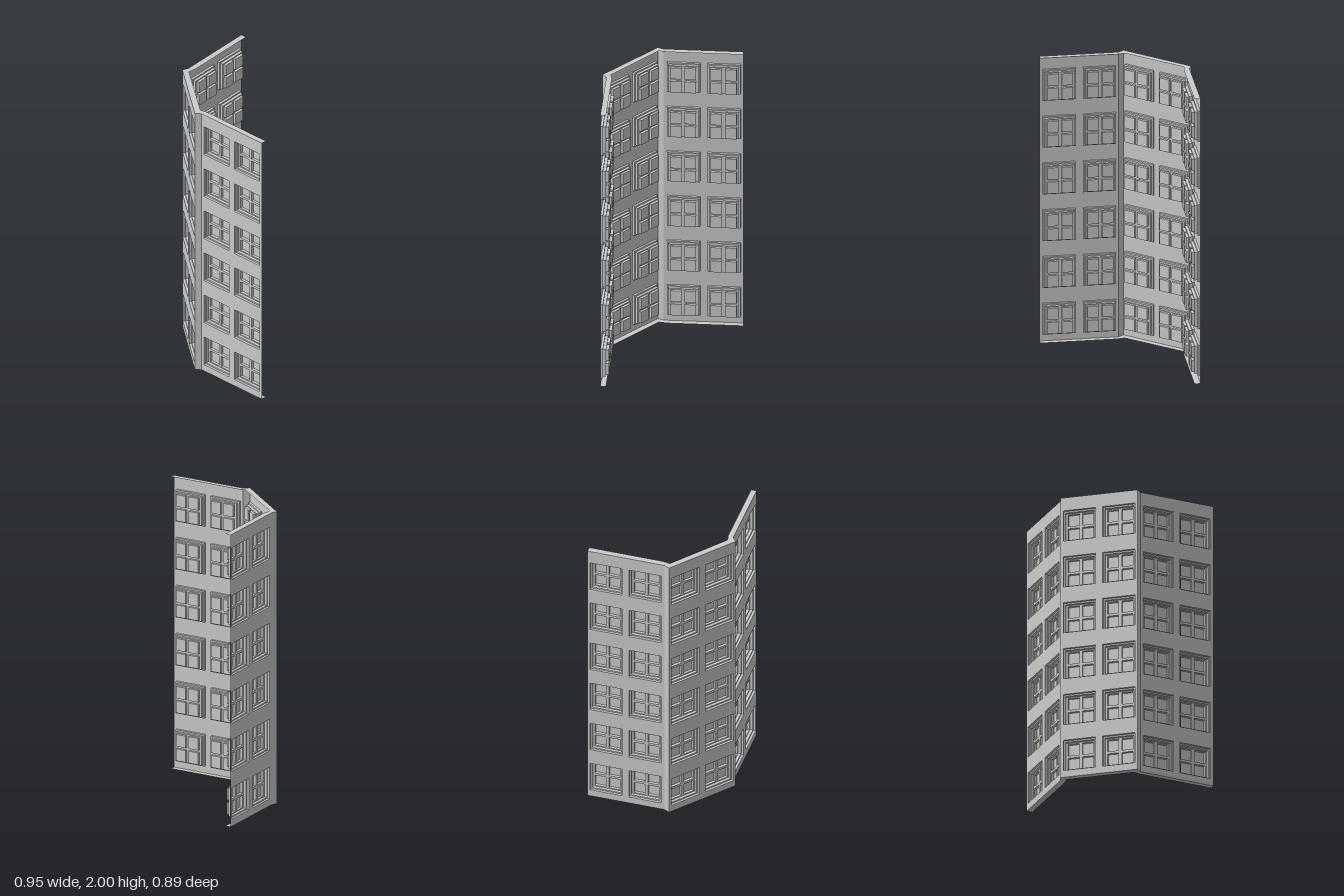
import * as THREE from 'three';
import { mergeGeometries } from 'three/addons/utils/BufferGeometryUtils.js';

const HEIGHT = 2, FLOORS = 6, FLOOR_STEP = 0.3285, FIRST_Y = 0.157;
const BAYS = [0.127, 0.391];           // window centres along each wall
const FRAME = 0.108, STEP = 0.098;     // half sizes of the stepped opening
const D1 = 0.016, D2 = 0.035, D3 = 0.053; // depths of the steps and panes
const PANE = { w: 0.037, h: 0.041, dx: 0.0475, dy: 0.0495 };

// plan corners as [x, z], running left to right as seen from outside
const OUTER = [[-0.46, -0.447], [-0.46, 0.075], [-0.478, 0.113], [-0.08, 0.443], [-0.045, 0.415], [0.475, 0.415]];
const INNER = [[-0.42, -0.447], [-0.42, 0.05], [-0.43, 0.103], [-0.08, 0.388], [-0.035, 0.378], [0.475, 0.378]];

function rect(cx, cy, w, h, Type = THREE.Path) {
  return new Type([[-w, -h], [w, -h], [w, h], [-w, h]].map(([x, y]) => new THREE.Vector2(cx + x, cy + y)));
}

function sheet(outline, holes, z) {
  outline.holes = holes;
  return new THREE.ShapeGeometry(outline).translate(0, 0, z).toNonIndexed();
}

// open-fronted recess between two depths, with or without a back
function recess(cx, cy, w, h, from, to, closed) {
  const box = new THREE.BoxGeometry(2 * w, 2 * h, to - from);
  const index = Array.from(box.index.array);
  box.setIndex(closed ? [...index.slice(0, 24), ...index.slice(30, 36)] : index.slice(0, 24));
  return box.translate(cx, cy, -(from + to) / 2).toNonIndexed();
}

// stepped frame with four recessed panes
function windowGeometry() {
  const panes = [];
  for (const sx of [-1, 1]) for (const sy of [-1, 1]) panes.push([sx * PANE.dx, sy * PANE.dy, PANE.w, PANE.h]);
  return mergeGeometries([
    recess(0, 0, FRAME, FRAME, 0, D1, false),
    sheet(rect(0, 0, FRAME, FRAME, THREE.Shape), [rect(0, 0, STEP, STEP)], -D1),
    recess(0, 0, STEP, STEP, D1, D2, false),
    sheet(rect(0, 0, STEP, STEP, THREE.Shape), panes.map((p) => rect(...p)), -D2),
    ...panes.map((p) => recess(...p, D2, D3, true)),
  ]);
}

export function createModel() {
  const model = new THREE.Group();
  model.name = 'facade';
  const stone = new THREE.MeshStandardMaterial({ color: 0xcccccc, side: THREE.DoubleSide });
  stone.name = 'pale grey';
  const windowGeo = windowGeometry();

  const add = (parent, geometry, name) => {
    const mesh = new THREE.Mesh(geometry, stone);
    mesh.name = name;
    parent.add(mesh);
    return mesh;
  };

  // wall panels alternate with narrow corner strips
  for (let i = 0; i < OUTER.length - 1; i++) {
    const [x0, z0] = OUTER[i], [x1, z1] = OUTER[i + 1];
    const length = Math.hypot(x1 - x0, z1 - z0);
    const isWall = i % 2 === 0;
    const section = new THREE.Group();
    section.name = isWall ? 'wall' : 'corner';
    section.position.set(x0, 0, z0);
    section.rotation.y = Math.atan2(-(z1 - z0), x1 - x0);
    model.add(section);

    const holes = [];
    if (isWall) {
      for (let f = 0; f < FLOORS; f++) {
        for (const x of BAYS) {
          const y = FIRST_Y + f * FLOOR_STEP;
          holes.push(rect(x, y, FRAME, FRAME));
          add(section, windowGeo, 'window').position.set(x, y, 0);
        }
      }
    }
    const outline = rect(length / 2, HEIGHT / 2, length / 2, HEIGHT / 2, THREE.Shape);
    add(section, sheet(outline, holes, 0), isWall ? 'wallPanel' : 'cornerStrip');
  }

  // inward flanges along the top and bottom edges
  const plan = new THREE.Shape([...OUTER, ...[...INNER].reverse()].map(([x, z]) => new THREE.Vector2(x, -z)));
  const flange = new THREE.ShapeGeometry(plan).rotateX(-Math.PI / 2);
  add(model, flange, 'bottomFlange');
  add(model, flange, 'topFlange').position.y = HEIGHT;

  return model;
}
